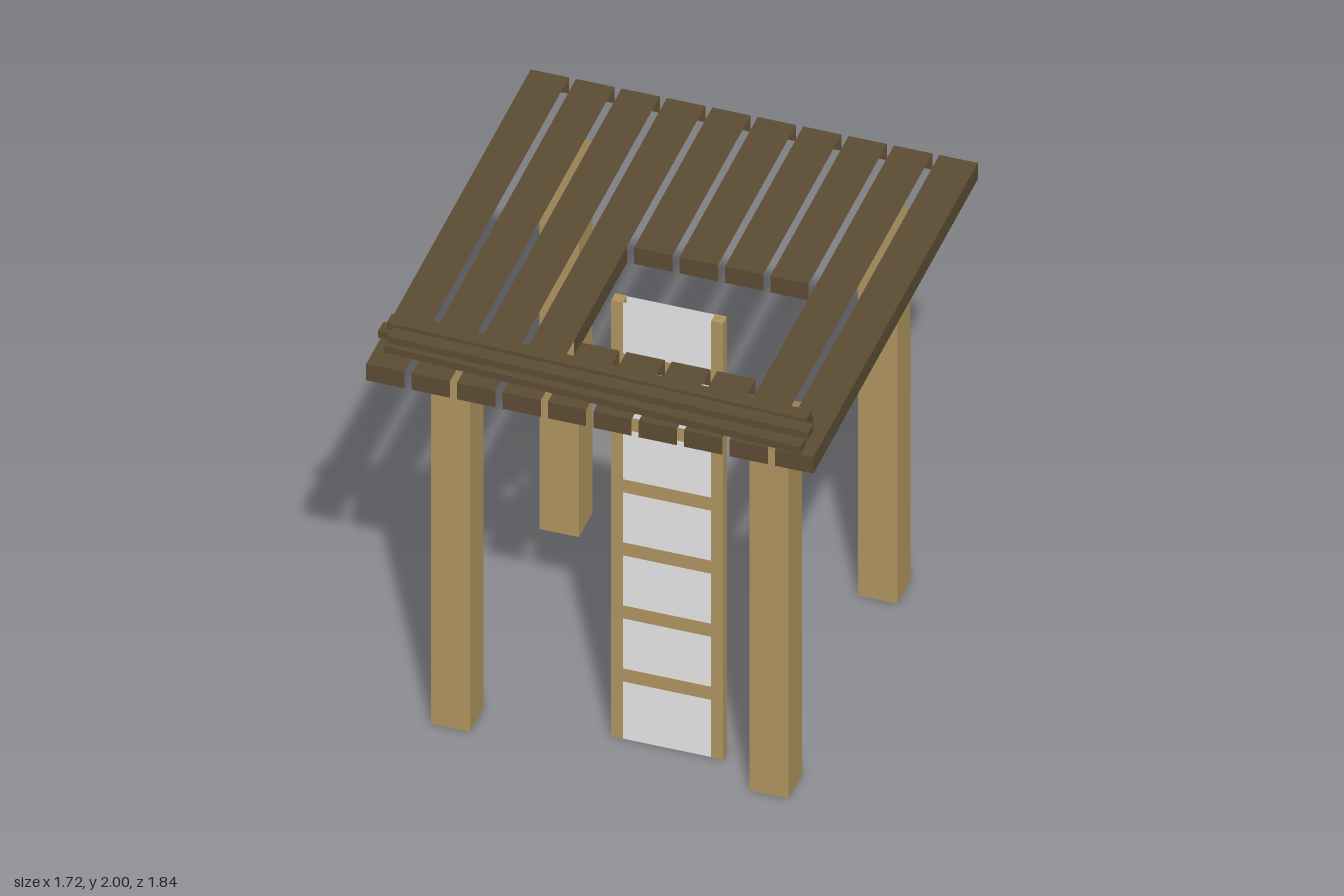
import * as THREE from 'three';

export function createModel() {
  const model = new THREE.Group();
  model.name = 'ladderPlatform';

  const material = (name, color) => {
    const m = new THREE.MeshStandardMaterial({ color, side: THREE.DoubleSide });
    m.name = name;
    return m;
  };
  const darkWood = material('darkWood', 0x5c4b34);
  const lightWood = material('lightWood', 0xaf935f);
  const grey = material('greyPanel', 0xe5e5e5);

  const add = (parent, name, geometry, mat, x, y, z) => {
    const mesh = new THREE.Mesh(geometry, mat);
    mesh.name = name;
    mesh.position.set(x, y, z);
    parent.add(mesh);
    return mesh;
  };
  // Box between two corners, without the listed faces (0..5 = +x -x +y -y +z -z)
  const box = (parent, name, mat, [x0, y0, z0], [x1, y1, z1], omitted) => {
    const geometry = new THREE.BoxGeometry(x1 - x0, y1 - y0, z1 - z0);
    const index = Array.from(geometry.index.array);
    const kept = geometry.groups.filter((g) => !omitted.includes(g.materialIndex));
    geometry.setIndex(kept.flatMap((g) => index.slice(g.start, g.start + g.count)));
    geometry.clearGroups();
    add(parent, name, geometry, mat, (x0 + x1) / 2, (y0 + y1) / 2, (z0 + z1) / 2);
  };
  const group = (name) => {
    const g = new THREE.Group();
    g.name = name;
    model.add(g);
    return g;
  };

  const deckBottom = 1.706, deckTop = 1.781;

  // Four square posts, hollow and open at the ends
  const legs = group('legs');
  for (const x of [-0.685, 0.535]) for (const z of [-0.685, 0.535]) {
    box(legs, 'leg', lightWood, [x, 0, z], [x + 0.15, deckBottom, z + 0.15], [2, 3]);
  }

  // Deck planks, open underneath, the middle four cut for the hatch;
  // the long sides are closed only at the outer edges and along the hatch
  const deck = group('deck');
  const hatchBack = -0.045, hatchFront = 0.55;
  for (let i = 0; i < 10; i++) {
    const x = -0.852 + i * 0.174;
    const runs = i >= 4 && i <= 7
      ? [[-0.922, hatchBack], [hatchFront, 0.922]] : [[-0.922, 0.922]];
    const omitted = [3];
    if (i !== 9) omitted.push(0);
    if (i !== 0 && i !== 8) omitted.push(1);
    for (const [z0, z1] of runs) {
      box(deck, 'deckPlank', darkWood, [x, deckBottom, z0], [x + 0.147, deckTop, z1], omitted);
    }
  }
  const hatchSide = new THREE.PlaneGeometry(hatchFront - hatchBack, deckTop - deckBottom);
  add(deck, 'hatchSide', hatchSide, darkWood, -0.183, (deckBottom + deckTop) / 2,
    (hatchBack + hatchFront) / 2).rotation.y = Math.PI / 2;

  // Ladder rails, open underneath
  const ladder = group('ladder');
  const zBack = 0.501, zFront = 0.546;
  for (const x of [-0.042, 0.341]) {
    box(ladder, 'ladderRail', lightWood, [x, 0, zBack], [x + 0.045, 2, zFront], [3]);
  }

  // Ladder faces, front and back: grey panels alternating with flush rungs
  const strip = (name, mat, y0, y1) => {
    const geometry = new THREE.PlaneGeometry(0.338, y1 - y0);
    const y = (y0 + y1) / 2, inset = 0.003;
    add(ladder, name, geometry, mat, 0.172, y, zFront - inset);
    add(ladder, name, geometry, mat, 0.172, y, zBack + inset).rotation.y = Math.PI;
  };
  let y = 0;
  for (let i = 0; i < 6; i++) {
    const rung = 0.262 + i * 0.289;
    strip('ladderPanel', grey, y, rung);
    strip('ladderRung', lightWood, rung, rung + 0.06);
    y = rung + 0.06;
  }
  strip('ladderPanel', grey, y, 2);

  // Loose boards stacked along the front: [x0, x1, z at x0, z at x1, layer]
  const boards = group('stackedBoards');
  const h = 0.031;
  for (const [x0, x1, z0, z1, layer] of [
    [-0.84, 0.79, 0.662, 0.75, 0],
    [-0.861, 0.79, 0.732, 0.79, 0],
    [-0.812, 0.81, 0.808, 0.891, 0],
    [-0.835, 0.79, 0.715, 0.765, 1],
    [-0.805, 0.823, 0.79, 0.838, 1],
  ]) {
    const dx = x1 - x0, dz = z1 - z0;
    const board = add(boards, 'stackedBoard',
      new THREE.BoxGeometry(Math.hypot(dx, dz), h, 0.056), darkWood,
      (x0 + x1) / 2, deckTop + h * (layer + 0.5), (z0 + z1) / 2);
    board.rotation.y = -Math.atan2(dz, dx);
  }

  return model;
}
